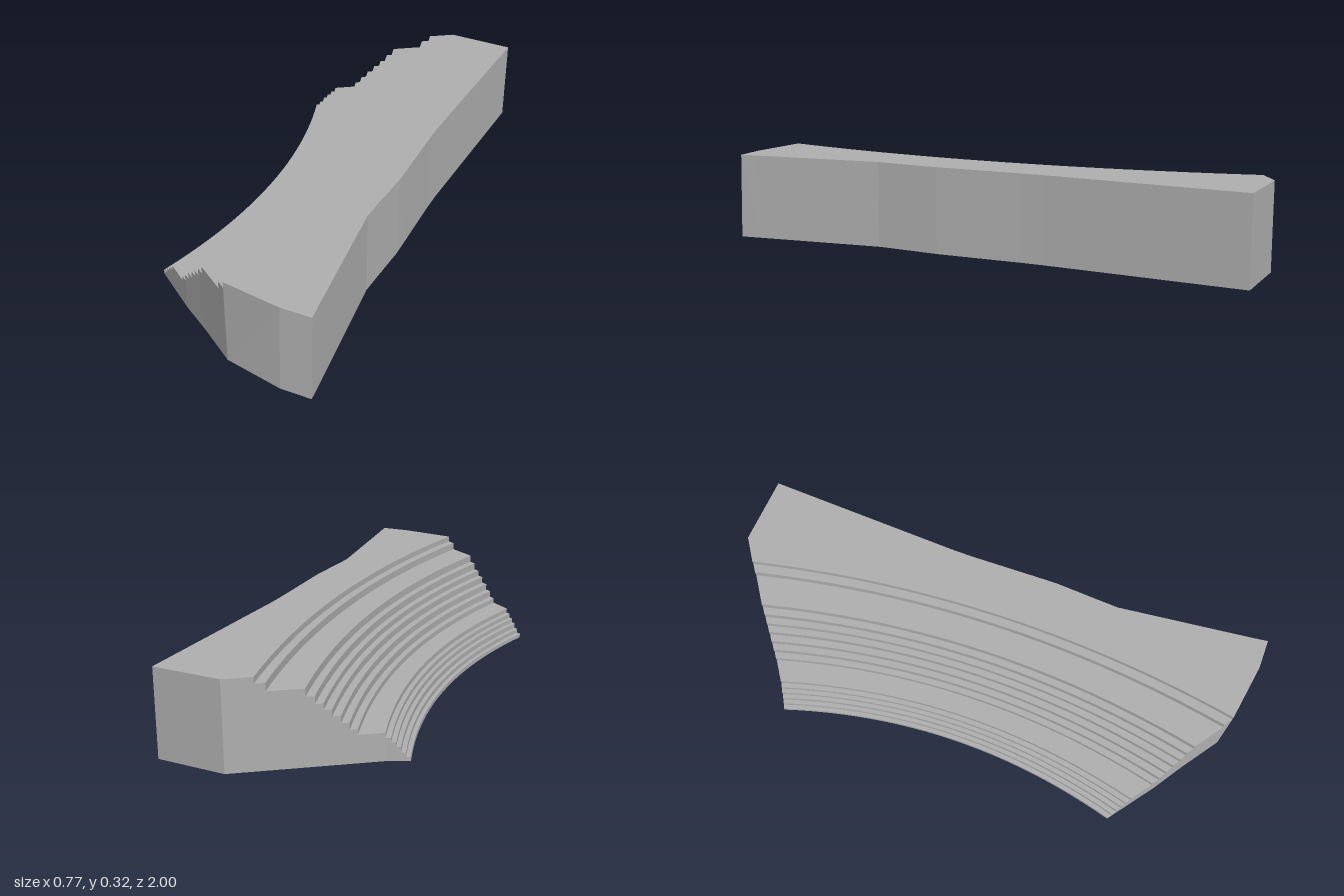
import * as THREE from 'three';

const N = 24; // stations along the length
// Left x of each step at the ends, and the height of its tread
const stepX = [-0.385, -0.37, -0.355, -0.34, -0.325, -0.308, -0.232, -0.21, -0.187, -0.163, -0.14, -0.117, -0.092, 0.013, 0.043];
const stepY = [0.015, 0.031, 0.05, 0.066, 0.082, 0.1, 0.12, 0.145, 0.17, 0.195, 0.217, 0.244, 0.272, 0.3, 0.322];
// Plan outline of the two ends (x, z) and of the rear wall (z, x)
const frontEnd = [[-0.385, 0.63], [-0.21, 0.765], [-0.1, 0.84], [0.043, 0.945]];
const backEnd = [[-0.385, -0.69], [-0.31, -0.72], [0.043, -0.945]];
const rearWall = [[-0.98, 0.385], [-0.2, 0.337], [0.17, 0.337], [0.42, 0.318], [1, 0.372]];

// Piecewise linear lookup
function lookup(table, v) {
  let k = 0;
  while (k < table.length - 2 && v > table[k + 1][0]) k++;
  const [a, b] = [table[k], table[k + 1]];
  return THREE.MathUtils.mapLinear(v, a[0], b[0], a[1], b[1]);
}

// Plan curves from the lowest step to the rear wall
function planCurves() {
  const stations = Array.from({ length: N + 1 }, (_, j) => j / N);
  const lerp = THREE.MathUtils.lerp;
  const curves = stepX.map((x) => stations.map((u) => [
    x + 0.1 * (1 - (2 * u - 1) ** 2),
    lerp(lookup(backEnd, x), lookup(frontEnd, x), u),
  ]));
  // Corner line of the flat top, then the rear wall
  curves.push(stations.map((u) => [lerp(0.13, 0.26, u) + 0.1 * u * (1 - u), lerp(-1, 0.997, u)]));
  curves.push(stations.map((u) => {
    const z = lerp(-0.98, 1, u);
    return [lookup(rearWall, z), z];
  }));
  return curves;
}

function quadMesh(name, quads, material) {
  const positions = quads.flatMap(([a, b, c, d]) => [a, b, c, a, c, d].flat());
  const geometry = new THREE.BufferGeometry();
  geometry.setAttribute('position', new THREE.Float32BufferAttribute(positions, 3));
  geometry.computeVertexNormals();
  const mesh = new THREE.Mesh(geometry, material);
  mesh.name = name;
  return mesh;
}

export function createModel() {
  const grey = new THREE.MeshStandardMaterial({ color: 0xb0b0b0 });
  grey.name = 'concrete grey';
  const curves = planCurves();
  const last = curves.length - 1;
  const top = stepY[stepY.length - 1];
  const height = (i) => stepY[Math.min(i, stepY.length - 1)];
  const point = (i, j, y) => {
    const [x, z] = curves[i][j];
    const bevel = j === N && i >= last - 1 && y > 0.3 ? 0.012 : 0;
    return [x, y, z - bevel];
  };

  const treads = [], risers = [], base = [], rear = [], ends = [];
  for (let i = 0; i <= last; i++) {
    const h = height(i);
    for (let j = 0; j < N; j++) {
      if (i < last) {
        treads.push([point(i, j, h), point(i, j + 1, h), point(i + 1, j + 1, h), point(i + 1, j, h)]);
        base.push([point(i, j, 0), point(i + 1, j, 0), point(i + 1, j + 1, 0), point(i, j + 1, 0)]);
      } else {
        rear.push([point(i, j, 0), point(i, j, top), point(i, j + 1, top), point(i, j + 1, 0)]);
      }
      if (i < stepY.length) {
        const lo = i ? height(i - 1) : 0;
        risers.push([point(i, j, lo), point(i, j + 1, lo), point(i, j + 1, h), point(i, j, h)]);
      }
    }
    if (i < last) {
      ends.push([point(i, N, 0), point(i + 1, N, 0), point(i + 1, N, h), point(i, N, h)]);
      ends.push([point(i, 0, 0), point(i, 0, h), point(i + 1, 0, h), point(i + 1, 0, 0)]);
    }
  }

  const group = new THREE.Group();
  group.name = 'curvedStand';
  group.add(
    quadMesh('treads', treads, grey),
    quadMesh('risers', risers, grey),
    quadMesh('base', base, grey),
    quadMesh('rearWall', rear, grey),
    quadMesh('endWalls', ends, grey),
  );
  return group;
}
